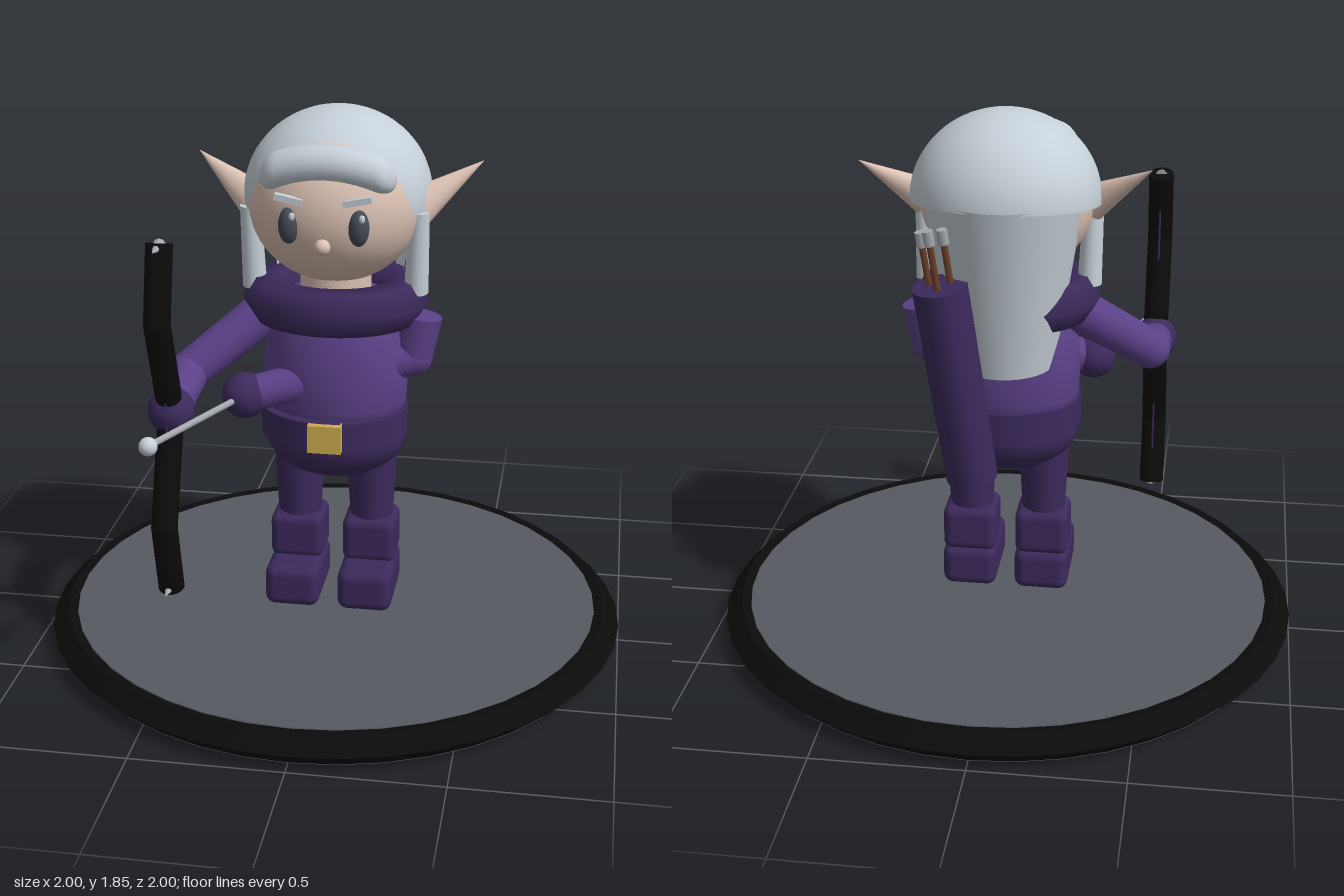
import * as THREE from 'three';
import { RoundedBoxGeometry } from 'three/addons/geometries/RoundedBoxGeometry.js';

const paint = (name, color) => Object.assign(new THREE.MeshStandardMaterial({ color }), { name });

export function createModel() {
  const model = new THREE.Group();
  const black = paint('black', 0x0b0b0c), slate = paint('slate', 0x565a61);
  const purple = paint('purple', 0x5b4188), darkPurple = paint('darkPurple', 0x3c2a5c);
  const skin = paint('skin', 0xdcc2b4), hair = paint('silverHair', 0xc6d0d8);
  const gold = paint('gold', 0xcfae50), eyeGrey = paint('eyeGrey', 0x454b55);
  const brown = paint('brown', 0x6b4028), steel = paint('steel', 0xa4a8ae);
  hair.side = THREE.DoubleSide;

  const V = (x, y, z) => new THREE.Vector3(x, y, z);
  const add = (name, geometry, material, x = 0, y = 0, z = 0) => {
    const mesh = new THREE.Mesh(geometry, material);
    mesh.name = name;
    mesh.position.set(x, y, z);
    model.add(mesh);
    return mesh;
  };
  const ball = (name, mat, x, y, z, rx, ry = rx, rz = rx) => {
    const m = add(name, new THREE.SphereGeometry(1, 32, 20), mat, x, y, z);
    m.scale.set(rx, ry, rz);
    return m;
  };
  // Tapered cylinder running from point a to point b
  const rod = (name, mat, a, b, ra, rb = ra, sides = 20) => {
    const m = add(name, new THREE.CylinderGeometry(rb, ra, a.distanceTo(b), sides), mat);
    m.position.copy(a).lerp(b, 0.5);
    m.quaternion.setFromUnitVectors(V(0, 1, 0), b.clone().sub(a).normalize());
    return m;
  };
  const lathe = (pts, n = 48) =>
    new THREE.LatheGeometry(pts.map(p => new THREE.Vector2(...p)), n);

  // Display base: bevelled rim and plate
  const rim = lathe([[0.9, 0], [0.945, 0], [0.945, 0], [1, 0.055], [1, 0.055], [0.945, 0.108],
    [0.945, 0.108], [0.905, 0.1]], 40);
  add('baseRim', rim, black);
  add('basePlate', new THREE.CylinderGeometry(0.912, 0.946, 0.106, 40), slate, 0, 0.052, 0);

  // Legs and boots
  for (const s of [-1, 1]) {
    const x = s * 0.126;
    add('foot', new RoundedBoxGeometry(0.187, 0.147, 0.3, 4, 0.035), darkPurple, x, 0.213, 0.052);
    add('bootShaft', new RoundedBoxGeometry(0.183, 0.16, 0.183, 4, 0.03), darkPurple, x, 0.355, 0);
    rod('leg', darkPurple, V(x, 0.4, 0), V(x, 0.7, 0), 0.073, 0.09);
  }

  // Hips, torso, belt and collar
  ball('hips', darkPurple, 0, 0.73, 0.005, 0.24, 0.15, 0.18);
  const torso = add('torso', lathe([[0, 0.78], [0.225, 0.78], [0.243, 0.87], [0.248, 0.97], [0.235, 1.08],
    [0.205, 1.17], [0.16, 1.24], [0, 1.26]], 40), purple, 0, 0, 0.005);
  torso.scale.z = 0.81;
  const belt = add('belt', new THREE.CylinderGeometry(0.25, 0.25, 0.1, 40), darkPurple, 0, 0.795, 0.024);
  belt.scale.z = 0.845;
  add('buckle', new THREE.BoxGeometry(0.112, 0.096, 0.04), gold, 0, 0.797, 0.238);
  const collar = add('collar', new THREE.TorusGeometry(0.228, 0.084, 6, 40), darkPurple, 0, 1.215, -0.003);
  collar.rotation.x = Math.PI / 2;
  collar.scale.y = 0.82;
  rod('neck', skin, V(0, 1.2, 0), V(0, 1.34, 0), 0.12);

  // Right arm reaching out to the bow
  const rightElbow = V(-0.475, 0.975, 0.15), bowHand = V(-0.48, 0.925, 0.385);
  rod('rightUpperArm', purple, V(-0.22, 1.17, 0), rightElbow, 0.075, 0.068);
  ball('rightElbow', purple, ...rightElbow, 0.068);
  rod('rightForearm', purple, rightElbow, bowHand, 0.068, 0.06);
  ball('bowHand', darkPurple, ...bowHand, 0.077);

  // Left arm folded across the body
  const leftElbow = V(0.262, 1.02, 0.005), drawHand = V(-0.275, 0.92, 0.2);
  rod('leftUpperArm', purple, V(0.288, 1.165, 0), leftElbow, 0.072, 0.067);
  ball('leftElbow', purple, ...leftElbow, 0.068);
  rod('leftForearm', purple, leftElbow, drawHand, 0.068, 0.06);
  ball('drawHand', darkPurple, ...drawHand, 0.077);

  // Head and face
  ball('head', skin, 0, 1.55, 0, 0.29, 0.27, 0.28);
  ball('nose', skin, 0, 1.465, 0.278, 0.026);
  for (const s of [-1, 1]) {
    ball('eye', eyeGrey, s * 0.112, 1.525, 0.25, 0.034, 0.06, 0.034);
    ball('eyeGlint', hair, s * 0.112 + 0.014, 1.56, 0.274, 0.01, 0.014, 0.008);
    const brow = add('eyebrow', new THREE.BoxGeometry(0.092, 0.02, 0.025), hair, s * 0.11, 1.613, 0.262);
    brow.rotation.z = s * 0.2;
    const ear = rod('ear', skin, V(s * 0.27, 1.535, 0), V(s * 0.475, 1.675, -0.09), 0.066, 0.001);
    ear.scale.z = 0.75;
    // Hair lock hanging in front of the ear
    const lock = rod('sideLock', hair, V(s * 0.272, 1.25, 0.018), V(s * 0.28, 1.53, 0.036), 0.045, 0.038);
    lock.scale.x = 0.9;
  }

  // Hair cap, slightly tipped so the back edge sits higher
  const cap = add('hairCap', new THREE.SphereGeometry(1, 40, 20, 0, Math.PI * 2, 0, Math.PI * 0.515),
    hair, 0, 1.56, -0.05);
  cap.scale.set(0.312, 0.29, 0.31);
  cap.rotation.x = 0.13;

  // Fringe: a capsule bent down and back towards its ends
  const fringeShape = new THREE.CapsuleGeometry(0.062, 0.32, 10, 24, 12).rotateZ(Math.PI / 2);
  const p = fringeShape.attributes.position;
  for (let i = 0; i < p.count; i++) {
    const x = p.getX(i);
    p.setY(i, p.getY(i) - 1.1 * x * x);
    p.setZ(i, p.getZ(i) - 0.7 * x * x);
  }
  fringeShape.computeVertexNormals();
  add('fringe', fringeShape, hair, 0, 1.717, 0.203);

  // Long hair down the back: open half cone, leaning forward at the bottom
  const back = add('backHair', new THREE.CylinderGeometry(0.265, 0.17, 0.6, 32, 1, true, Math.PI / 2, Math.PI),
    hair, 0, 1.3, -0.088);
  back.rotation.x = -0.03;

  // Bow: angular limbs, tips and string
  const bx = -0.48;
  const bowPoints = [[1.51, 0.462], [1.265, 0.525], [0.92, 0.39], [0.57, 0.525], [0.325, 0.462]]
    .map(([y, z]) => V(bx, y, z));
  bowPoints.forEach((q, i) => {
    if (i) rod('bowLimb', black, bowPoints[i - 1], q, 0.043);
    if (i > 0 && i < 4) ball('bowJoint', black, ...q, 0.043);
  });
  for (const y of [1.503, 0.332])
    rod('bowTip', steel, V(bx, y, 0.46), V(bx, y, 0.545), 0.022, 0.002, 10);
  rod('bowString', darkPurple, V(bx, 0.33, 0.455), V(bx, 1.5, 0.455), 0.004, 0.004, 6);

  // Nocked arrow
  rod('arrowShaft', steel, drawHand, V(bx, 0.92, 0.68), 0.011, 0.011, 10);
  ball('arrowHead', hair, bx, 0.92, 0.682, 0.03);

  // Quiver with spare arrows
  const qBottom = V(0.09, 0.637, -0.235), qTop = V(0.178, 1.335, -0.308);
  rod('quiver', darkPurple, qBottom, qTop, 0.086, 0.09, 28);
  const axis = qTop.clone().sub(qBottom).normalize();
  for (const [dx, dz, h] of [[-0.035, 0.02, 0.16], [0.035, 0.015, 0.15], [0.0, -0.03, 0.17]]) {
    const foot = qTop.clone().add(V(dx, -0.02, dz));
    const top = foot.clone().addScaledVector(axis, h);
    rod('spareArrow', brown, foot, top, 0.011, 0.011, 8);
    rod('fletching', steel, top, top.clone().addScaledVector(axis, 0.05), 0.018, 0.018, 8);
  }

  return model;
}
